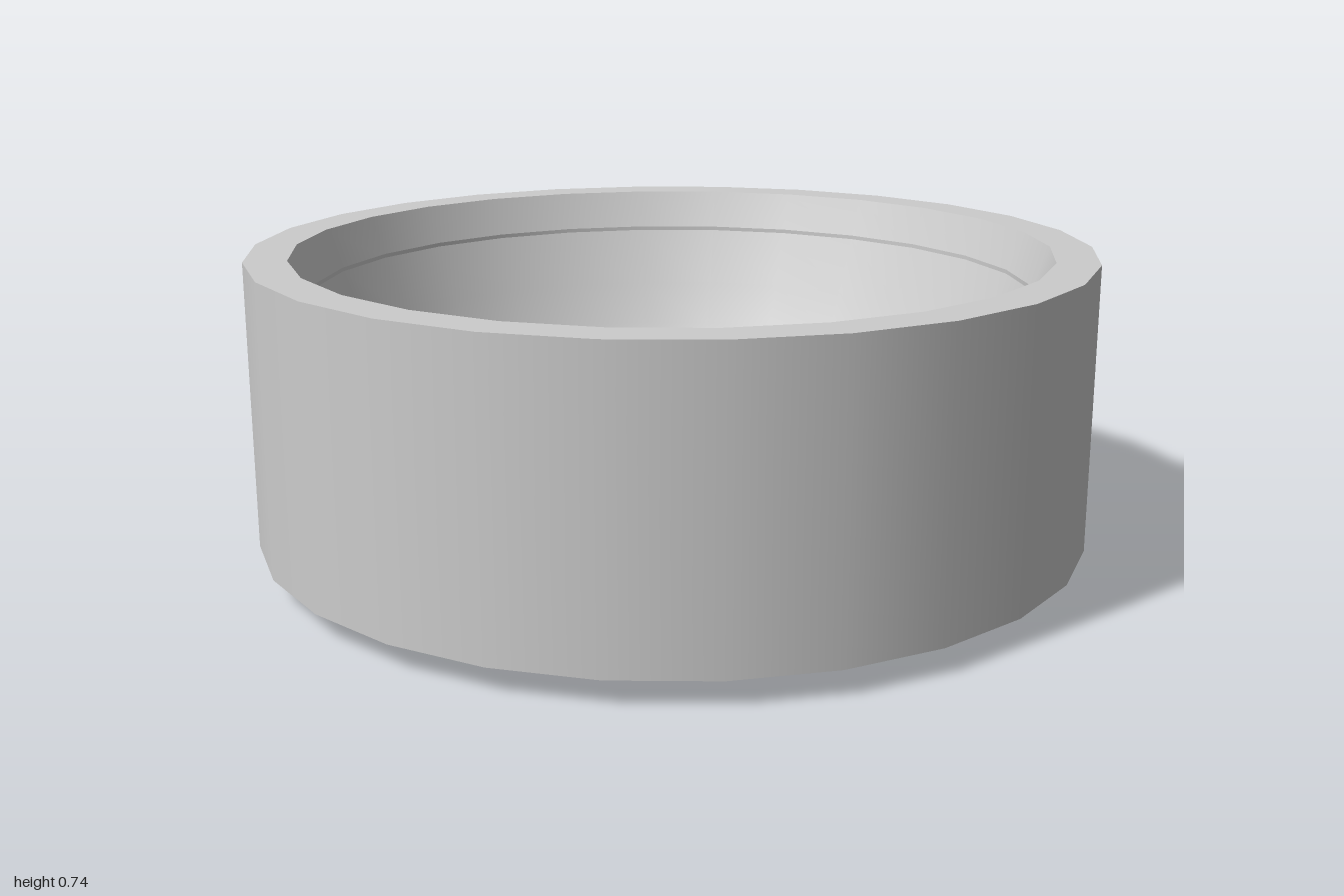
import * as THREE from 'three';

const SIDES = 26;

export function createModel() {
  const group = new THREE.Group();
  group.name = 'washBasin';

  const ceramic = new THREE.MeshStandardMaterial({ color: 0xcccccc, side: THREE.DoubleSide });
  ceramic.name = 'greyCeramic';

  // Each ring is its own lathe, so the edges between rings stay sharp.
  // Profiles run upwards for outward faces and downwards for inward ones.
  const ring = (name, profile) => {
    const points = profile.map(([r, y]) => new THREE.Vector2(r, y));
    const mesh = new THREE.Mesh(new THREE.LatheGeometry(points, SIDES), ceramic);
    mesh.name = name;
    group.add(mesh);
  };

  // Outer shell
  ring('bottomChamfer', [[0.86, 0], [1, 0.06]]);
  ring('outerWall', [[1, 0.06], [1, 0.74]]);
  ring('topRim', [[1, 0.74], [0.9, 0.74]]);
  ring('hollowBaseWall', [[0.86, 0.645], [0.86, 0]]);

  // Bowl
  ring('bowl', [
    [0.9, 0.74], [0.86, 0.635], [0.8, 0.495], [0.75, 0.39], [0.7, 0.305],
    [0.63, 0.25], [0.54, 0.21], [0.42, 0.175], [0.3, 0.157], [0.19, 0.15],
  ]);

  // Drain
  ring('drainFlange', [[0.19, 0.15], [0.16, 0.15]]);
  ring('drainStep', [[0.16, 0.15], [0.15, 0.14]]);
  ring('drainFloor', [[0.15, 0.14], [0, 0.14]]);
  ring('drainPipe', [[0.19, 0.06], [0.19, 0.15]]);

  return group;
}
